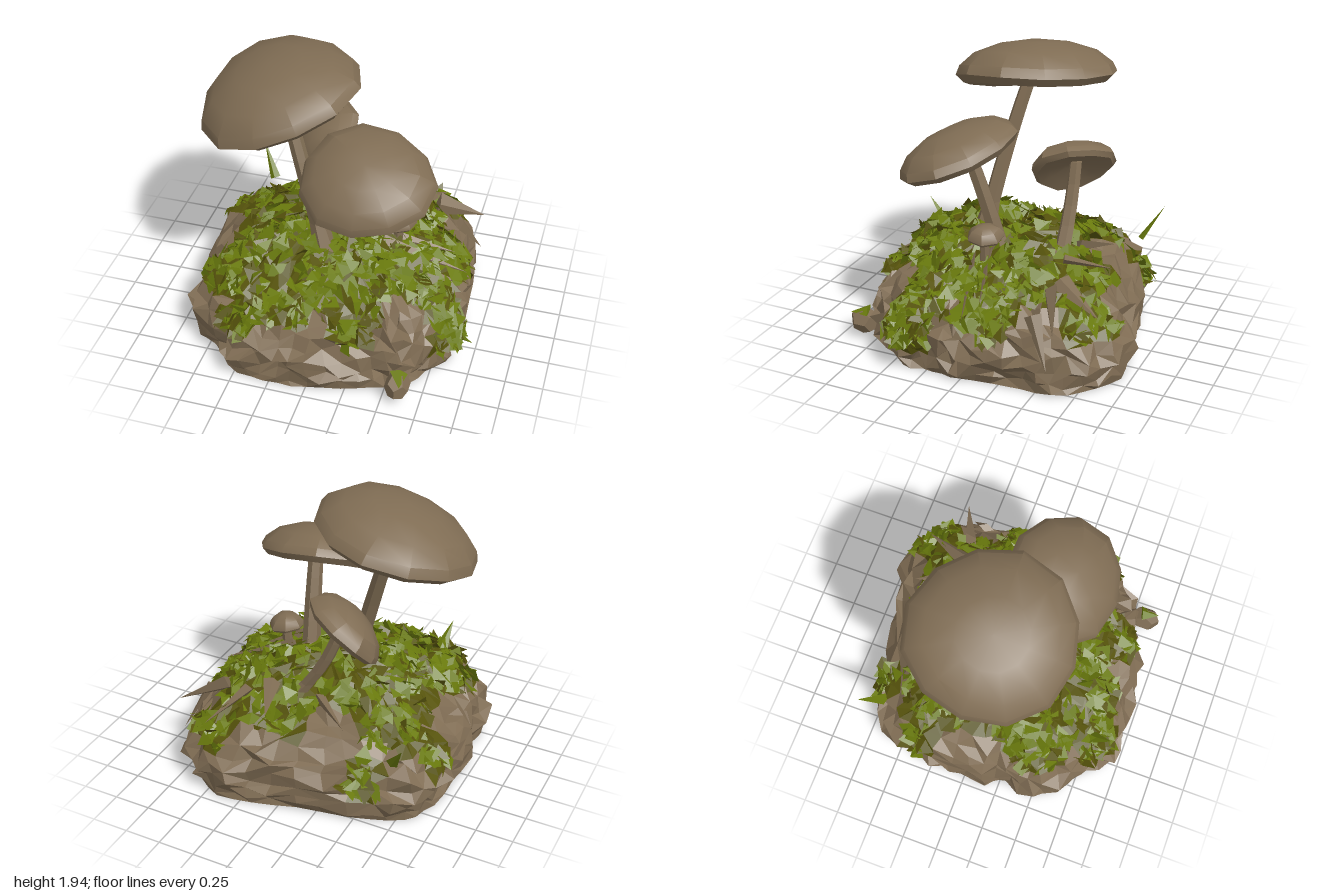
import * as THREE from 'three';
import { mergeGeometries, toCreasedNormals } from 'three/addons/utils/BufferGeometryUtils.js';

const V = (x, y, z) => new THREE.Vector3(x, y, z);
const mat = (name, color, side = THREE.FrontSide) =>
  Object.assign(new THREE.MeshStandardMaterial({ color, side }), { name });

export function createModel() {
  const model = new THREE.Group();
  model.name = 'mushroomMound';
  const brown = mat('earthBrown', 0x806d54);
  const green = mat('mossGreen', 0x6a7b0d, THREE.DoubleSide);
  const olive = mat('darkMoss', 0x57540c, THREE.DoubleSide);

  let seed = 7;
  const rand = () => {
    seed = (seed * 1664525 + 1013904223) >>> 0;
    return seed / 4294967296;
  };
  const jit = (a) => (rand() - 0.5) * 2 * a;
  const add = (name, geo, material) => {
    const m = new THREE.Mesh(geo, material);
    m.name = name;
    model.add(m);
    return m;
  };
  // faceted copy of a geometry
  const facet = (g) => {
    const f = g.index ? g.toNonIndexed() : g;
    f.computeVertexNormals();
    return f;
  };
  const near = (p, x, z, r) => 1 - Math.hypot(p.x - x, p.z - z) / r;

  // ---- mound surface: plan outline (x, z) times a side profile (scale, y), with two low humps
  const outline = new THREE.CatmullRomCurve3([
    [0.88, 0], [0.86, 0.2], [0.88, 0.42], [0.73, 0.62], [0.6, 0.77], [0.42, 0.83],
    [0.1, 0.93], [-0.2, 0.97], [-0.48, 0.95], [-0.72, 0.75], [-0.94, 0.54], [-0.92, 0.3], [-0.98, 0],
    [-0.94, -0.42], [-0.84, -0.64], [-0.5, -0.77], [0, -0.88], [0.38, -0.97], [0.67, -0.84],
    [0.82, -0.6], [0.84, -0.3],
  ].map(([x, z]) => V(x, 0, z)), true);
  const profile = new THREE.CatmullRomCurve3([
    [0.96, 0], [0.98, 0.1], [1, 0.22], [0.95, 0.34], [0.86, 0.43],
    [0.7, 0.52], [0.5, 0.61], [0.28, 0.67], [0, 0.7],
  ].map(([r, y]) => V(r, y, 0)));
  const surface = (u, t) => {
    const o = outline.getPoint(u % 1), p = profile.getPoint(t);
    const s = V(o.x * p.x, p.y, o.z * p.x);
    for (const [x, z] of [[-0.3, 0.38], [0.28, 0.38]]) s.y += 0.07 * Math.max(0, near(s, x, z, 0.3));
    return s;
  };

  // ---- moss cover: positive where moss grows; patches are x, z, radius, lowest y
  const patches = [
    [0.87, 0.4, 0.18, 0.1], [0.74, 0.12, 0.18, 0.36], [-0.92, -0.35, 0.12, 0.28], [-0.5, -0.78, 0.16, 0.14],
    [-0.47, 0.78, 0.16, 0.33], [0.55, -0.8, 0.17, 0.34], [0.25, 0.68, 0.15, 0.33], [0.7, -0.2, 0.16, 0.3],
  ];
  const bareSpots = [[-0.25, -0.65, 0.22], [0.6, 0.64, 0.2], [0.76, -0.47, 0.18], [0.72, 0.1, 0.06]];
  const mossiness = (p) => {
    const a = Math.atan2(p.z, p.x);
    let m = p.y - 0.46 + 0.04 * Math.sin(3 * a + 1) + 0.03 * Math.sin(7 * a + 2);
    for (const [x, z, r, low] of patches) if (p.y > low) m = Math.max(m, near(p, x, z, r) * 0.15);
    for (const [x, z, r] of bareSpots) m = Math.min(m, -near(p, x, z, r));
    return m;
  };

  // ---- rock: crumpled grid, closed underneath, dark moss film on the upper faces
  const NA = 60, NT = 14, pos = [], bare = [], film = [];
  for (let j = -1; j <= NT; j++) {
    for (let i = 0; i < NA; i++) {
      if (j < 0) { pos.push(0, 0, 0); continue; }
      const p = surface(i / NA, j / NT);
      if (j === 0) p.multiplyScalar(1 + jit(0.015));
      else if (j < NT) {
        const k = 1 + jit(0.035);
        p.set(p.x * k + jit(0.026), Math.max(0.03, p.y + jit(0.034)), p.z * k + jit(0.026));
      }
      pos.push(p.x, p.y, p.z);
    }
  }
  for (let j = 0; j <= NT; j++) {
    for (let i = 0; i < NA; i++) {
      const n = (i + 1) % NA;
      const a = j * NA + i, b = j * NA + n, c = a + NA, d = b + NA;
      const mossy = j > 0 && mossiness(surface((i + 0.5) / NA, (j - 0.5) / NT)) > -0.015;
      const list = mossy ? film : bare;
      if (rand() < 0.5) list.push(a, c, b, b, c, d);
      else list.push(a, c, d, a, d, b);
    }
  }
  for (const [name, index, material] of [['rockMound', bare, brown], ['mossFilm', film, olive]]) {
    const g = new THREE.BufferGeometry();
    g.setAttribute('position', new THREE.Float32BufferAttribute(pos, 3));
    g.setIndex(index);
    add(name, facet(g), material);
  }
  const stone = add('looseStone', facet(new THREE.DodecahedronGeometry(0.1, 0)), brown);
  stone.scale.set(0.85, 0.9, 1.1);
  stone.position.set(0.6, 0.12, 0.84);

  // ---- moss leaves: folded pointed patches lying over the film
  const light = [], dark = [];
  for (let n = 0; n < 2800; n++) {
    const u = rand(), t = 0.2 + rand() * 0.8;
    if (rand() > profile.getPoint(t).x) continue;
    const p = surface(u, t), m = mossiness(p);
    if (m < 0) continue;
    const up = V(p.x * 0.7 + jit(0.8), 0.7, p.z * 0.7 + jit(0.8)).normalize();
    const along = V(jit(1), jit(0.3), jit(1)).cross(up).normalize();
    const across = along.clone().cross(up);
    const len = 0.05 + rand() * 0.05, wide = 0.035 + rand() * 0.035;
    p.addScaledVector(up, 0.015 + rand() * Math.min(0.045, 0.01 + m * 0.4));
    const at = (l, w, h) => p.clone().addScaledVector(along, l).addScaledVector(across, w).addScaledVector(up, h);
    const a = at(-len, 0, -0.02), b = at(0, wide, jit(0.03)), c = at(len, 0, jit(0.04)), d = at(0, -wide, jit(0.03));
    const g = new THREE.BufferGeometry().setFromPoints([a, b, d, b, c, d]);
    (rand() < (m < 0.06 ? 0.32 : 0.18) ? dark : light).push(facet(g));
  }
  add('moss', mergeGeometries(light), green);
  add('shadedMoss', mergeGeometries(dark), olive);

  // ---- pointed shards: twigs, bark chips and curling moss tips
  const shard = (name, a, b, r, material) => {
    const d = b.clone().sub(a);
    const g = new THREE.ConeGeometry(r, d.length(), 4).scale(1, 1, 0.5);
    const m = add(name, facet(g), material);
    m.position.copy(a).add(b).multiplyScalar(0.5);
    m.quaternion.setFromUnitVectors(V(0, 1, 0), d.normalize());
  };
  shard('twig', V(0.3, 0.69, 0.14), V(0.86, 0.43, -0.02), 0.06, brown);
  shard('twig', V(0.33, 0.67, 0.03), V(0.76, 0.52, -0.1), 0.05, brown);
  shard('twig', V(0.24, 0.68, -0.46), V(0.13, 0.62, -0.76), 0.06, brown);
  shard('barkChip', V(0.55, 0.6, -0.5), V(0.86, 0.46, -0.64), 0.08, brown);
  shard('barkChip', V(0.4, 0.6, -0.5), V(0.55, 0.47, -0.82), 0.07, brown);
  shard('barkChip', V(0.72, 0.5, -0.45), V(0.86, 0.2, -0.6), 0.06, brown);
  shard('barkChip', V(-0.1, 0.62, -0.42), V(-0.35, 0.56, -0.6), 0.07, brown);
  shard('mossTip', V(-0.72, 0.46, -0.66), V(-0.84, 0.68, -0.79), 0.04, green);
  shard('mossTip', V(-0.47, 0.43, 0.76), V(-0.5, 0.6, 0.91), 0.05, green);
  shard('mossTip', V(0.82, 0.28, 0.4), V(1, 0.21, 0.42), 0.07, green);
  shard('mossTip', V(-0.85, 0.36, -0.34), V(-0.99, 0.34, -0.36), 0.05, green);
  shard('mossTip', V(0.6, 0.2, 0.81), V(0.63, 0.18, 0.93), 0.06, green);

  // ---- mushrooms: bent tapered stem with a tilted, uneven cap
  const stemGeometry = (a, b, bend, r) => {
    const c = new THREE.QuadraticBezierCurve3(a, a.clone().lerp(b, 0.5).add(bend), b);
    const g = new THREE.CylinderGeometry(r, r * 1.3, 1, 6, 5);
    const p = g.attributes.position;
    for (let i = 0; i < p.count; i++) {
      const t = p.getY(i) + 0.5, q = c.getPoint(t), flare = t < 0.05 ? 1.4 : 1;
      p.setXYZ(i, q.x + p.getX(i) * flare, q.y, q.z + p.getZ(i) * flare);
    }
    return facet(g);
  };
  const capGeometry = (rx, rz, h, sides) => {
    const pts = [[0, 0.2], [0.2, 0.16], [0.6, 0.02], [0.9, -0.12], [1, 0.06], [0.95, 0.3], [0.76, 0.64],
      [0.42, 0.9], [0, 1]].map(([x, y]) => new THREE.Vector2(x, y));
    const g = new THREE.LatheGeometry(pts, sides);
    const p = g.attributes.position;
    for (let i = 0; i < p.count; i++) {
      const x = p.getX(i), z = p.getZ(i), r = Math.hypot(x, z), a = Math.atan2(z, x);
      const w = 1 + 0.025 * r * Math.sin(3 * a + 1);
      p.setXYZ(i, x * rx * w, p.getY(i) * h + 0.1 * h * r * r * Math.sin(2 * a), z * rz * w);
    }
    return toCreasedNormals(g, 0.5);
  };
  const mushroom = (name, m) => {
    add(name + 'Stem', stemGeometry(m.foot, m.top, m.bend, m.stem), brown);
    const cap = add(name + 'Cap', capGeometry(m.rx, m.rz, m.h, m.sides), brown);
    cap.position.copy(m.center);
    cap.quaternion.setFromUnitVectors(V(0, 1, 0), m.tilt.normalize());
  };
  mushroom('tall', {
    foot: V(-0.05, 0.62, 0.25), top: V(-0.39, 1.69, 0.05), bend: V(0.01, 0, 0.03), stem: 0.047,
    center: V(-0.41, 1.645, 0.03), tilt: V(-0.27, 1, 0.15), rx: 0.545, rz: 0.55, h: 0.27, sides: 12,
  });
  mushroom('middle', {
    foot: V(0.19, 0.6, 0), top: V(0.25, 1.31, 0.21), bend: V(0, 0, -0.02), stem: 0.05,
    center: V(0.235, 1.26, 0.28), tilt: V(0.02, 0.91, 0.42), rx: 0.445, rz: 0.41, h: 0.22, sides: 11,
  });
  mushroom('rear', {
    foot: V(0.1, 0.58, -0.37), top: V(-0.22, 1.18, -0.35), bend: V(-0.06, -0.06, 0), stem: 0.042,
    center: V(-0.22, 1.12, -0.34), tilt: V(-0.57, 0.68, 0.45), rx: 0.3, rz: 0.29, h: 0.17, sides: 10,
  });
  mushroom('small', {
    foot: V(0.38, 0.58, 0.04), top: V(0.4, 0.82, 0.03), bend: V(0, 0, 0), stem: 0.03,
    center: V(0.39, 0.8, 0.03), tilt: V(0.06, 1, 0.05), rx: 0.12, rz: 0.125, h: 0.095, sides: 7,
  });
  return model;
}
